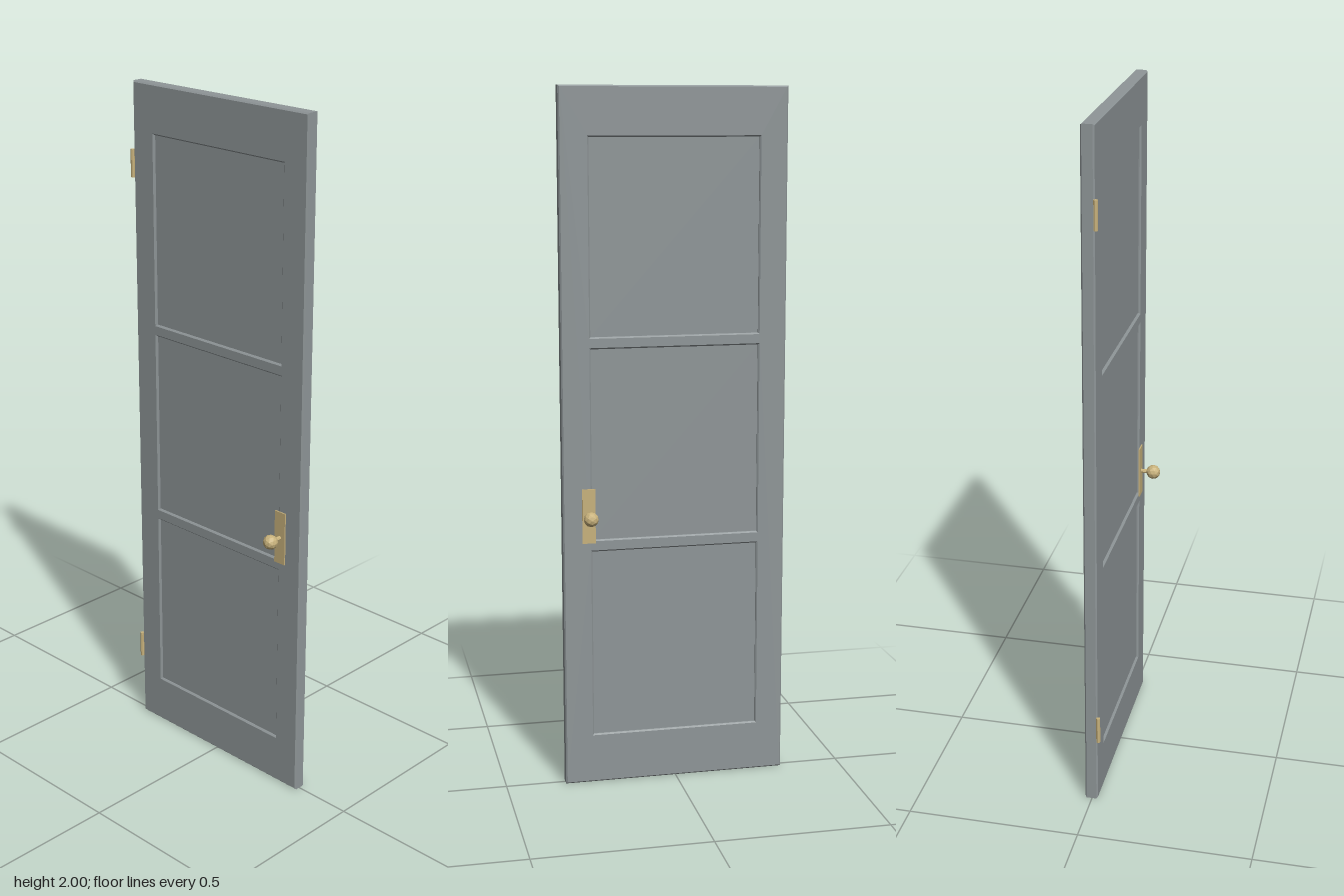
import * as THREE from 'three';

export function createModel() {
  const model = new THREE.Group();
  model.name = 'panelDoor';

  const paint = new THREE.MeshStandardMaterial({ color: 0x8f9698, flatShading: true });
  paint.name = 'grey paint';
  const brass = new THREE.MeshStandardMaterial({ color: 0xc8b27c, flatShading: true });
  brass.name = 'brass';

  const add = (name, geometry, material, x, y, z, parent = model) => {
    const mesh = new THREE.Mesh(geometry, material);
    mesh.name = name;
    mesh.position.set(x, y, z);
    parent.add(mesh);
    return mesh;
  };

  const rectangle = (path, x0, y0, x1, y1) =>
    path.moveTo(x0, y0).lineTo(x1, y0).lineTo(x1, y1).lineTo(x0, y1).closePath();

  const midZ = -0.0015, depth = 0.037, bevel = 0.004;

  // Door frame with three bevelled openings
  const outline = rectangle(new THREE.Shape(), -0.322, 0, 0.327, 2);
  const [left, right] = [-0.241, 0.243];
  const openings = [[0.147, 0.695], [0.73, 1.277], [1.311, 1.86]];
  for (const [y0, y1] of openings) {
    outline.holes.push(rectangle(new THREE.Path(), left, y0, right, y1));
  }
  const frame = new THREE.ExtrudeGeometry(outline, {
    depth: depth - 2 * bevel,
    bevelEnabled: true, bevelSegments: 1,
    bevelThickness: bevel, bevelSize: bevel, bevelOffset: -bevel,
  });
  add('doorFrame', frame, paint, 0, 0, midZ - depth / 2 + bevel);

  // Recessed panels, set back on both faces
  for (const [y0, y1] of openings) {
    add('recessedPanel', new THREE.BoxGeometry(right - left, y1 - y0, 0.023), paint,
      (left + right) / 2, (y0 + y1) / 2, midZ);
  }

  // Backplate, spindle and faceted knob on each face
  for (const side of [1, -1]) {
    const handle = new THREE.Group();
    handle.name = side > 0 ? 'frontHandle' : 'backHandle';
    handle.position.set(0.253, 0.8, midZ + side * depth / 2);
    if (side < 0) handle.rotation.y = Math.PI;
    model.add(handle);
    add('backplate', new THREE.BoxGeometry(0.038, 0.158, 0.004), brass, 0, 0, 0.002, handle);
    const spindle = new THREE.CylinderGeometry(0.0065, 0.0065, 0.026, 8).rotateX(Math.PI / 2);
    add('spindle', spindle, brass, 0, 0, 0.015, handle);
    add('knob', new THREE.IcosahedronGeometry(0.0215, 1), brass, 0, 0, 0.0415, handle);
  }

  // Hinge pins at the front left edge
  for (const y of [0.24, 1.77]) {
    add('hingePin', new THREE.CylinderGeometry(0.006, 0.006, 0.08, 8), brass, -0.323, y, 0.02);
  }

  return model;
}
